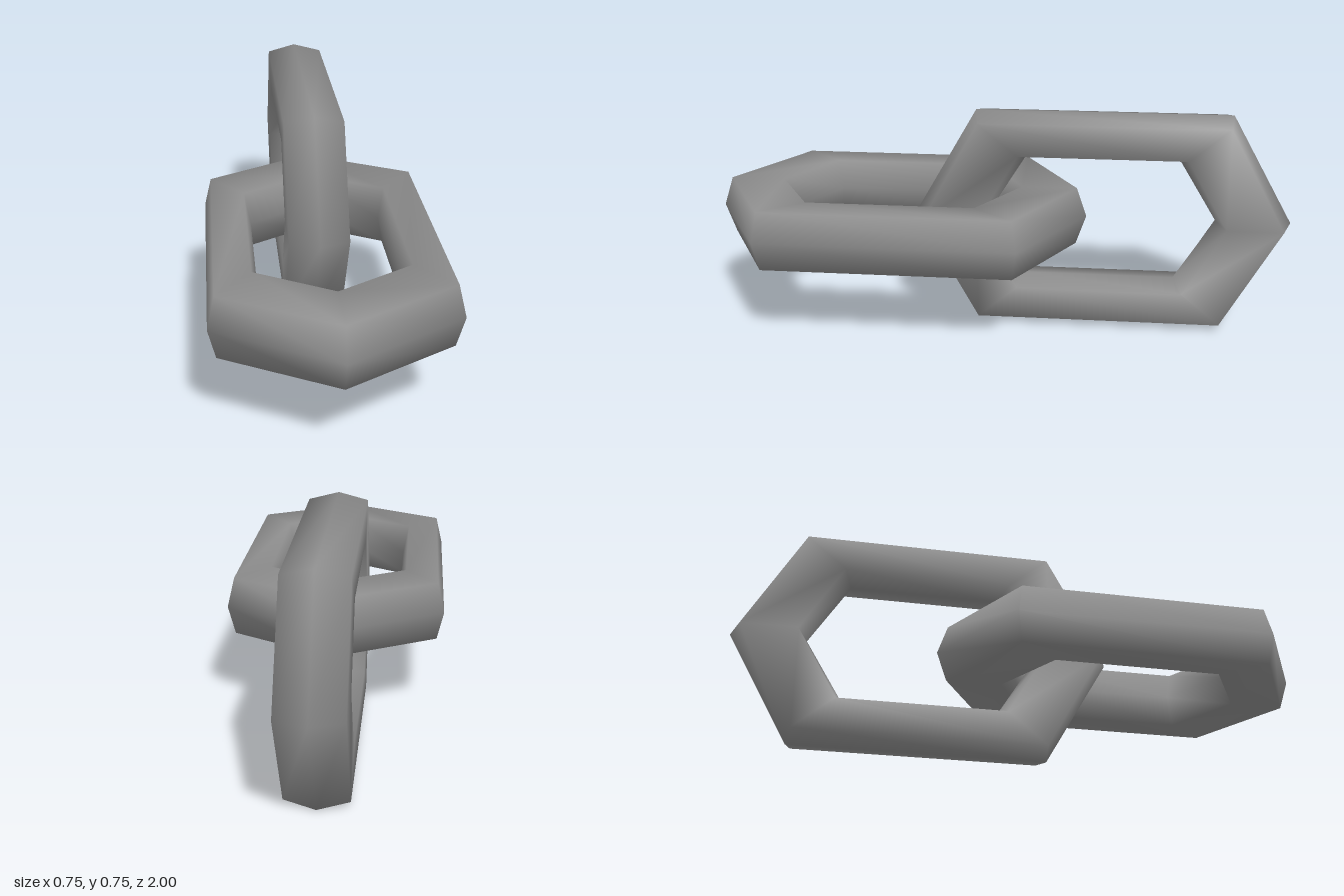
import * as THREE from 'three';

// Six-sided chain link lying flat, long axis along z
function linkGeometry() {
  // Rails around the tube: [half width, corner z, tip z, height]
  const rails = [
    [0.375, 0.435, 0.65, 0],
    [0.352, 0.42, 0.615, 0.102],
    [0.24, 0.285, 0.425, 0.102],
    [0.22, 0.26, 0.395, 0],
    [0.24, 0.285, 0.425, -0.102],
    [0.352, 0.42, 0.615, -0.102],
  ];
  const n = rails.length;
  const positions = [];
  const index = [];
  for (let i = 0; i < 6; i++) {
    const sideSign = [0, 1, 1, 0, -1, -1][i];
    const endSign = [1, 1, -1, -1, -1, 1][i];
    for (const [w, c, t, y] of rails) {
      positions.push(sideSign * w, y, endSign * (sideSign === 0 ? t : c));
    }
    // Join this cross-section to the next one
    for (let j = 0; j < n; j++) {
      const a = i * n + j;
      const b = ((i + 1) % 6) * n + j;
      const d = i * n + ((j + 1) % n);
      const e = ((i + 1) % 6) * n + ((j + 1) % n);
      index.push(a, b, d, b, e, d);
    }
  }
  const geometry = new THREE.BufferGeometry();
  geometry.setAttribute('position', new THREE.Float32BufferAttribute(positions, 3));
  geometry.setIndex(index);
  geometry.computeVertexNormals();
  return geometry;
}

export function createModel() {
  const model = new THREE.Group();
  model.name = 'chain';
  const steel = new THREE.MeshStandardMaterial({ color: 0x8c8c8c });
  steel.name = 'steel grey';
  const geometry = linkGeometry();

  // Flat link in front, upright link behind
  const frontLink = new THREE.Mesh(geometry, steel);
  frontLink.name = 'frontLink';
  frontLink.position.set(0, 0.375, 0.35);

  const backLink = new THREE.Mesh(geometry, steel);
  backLink.name = 'backLink';
  backLink.rotation.z = Math.PI / 2;
  backLink.position.set(0, 0.375, -0.35);

  model.add(frontLink, backLink);
  return model;
}
